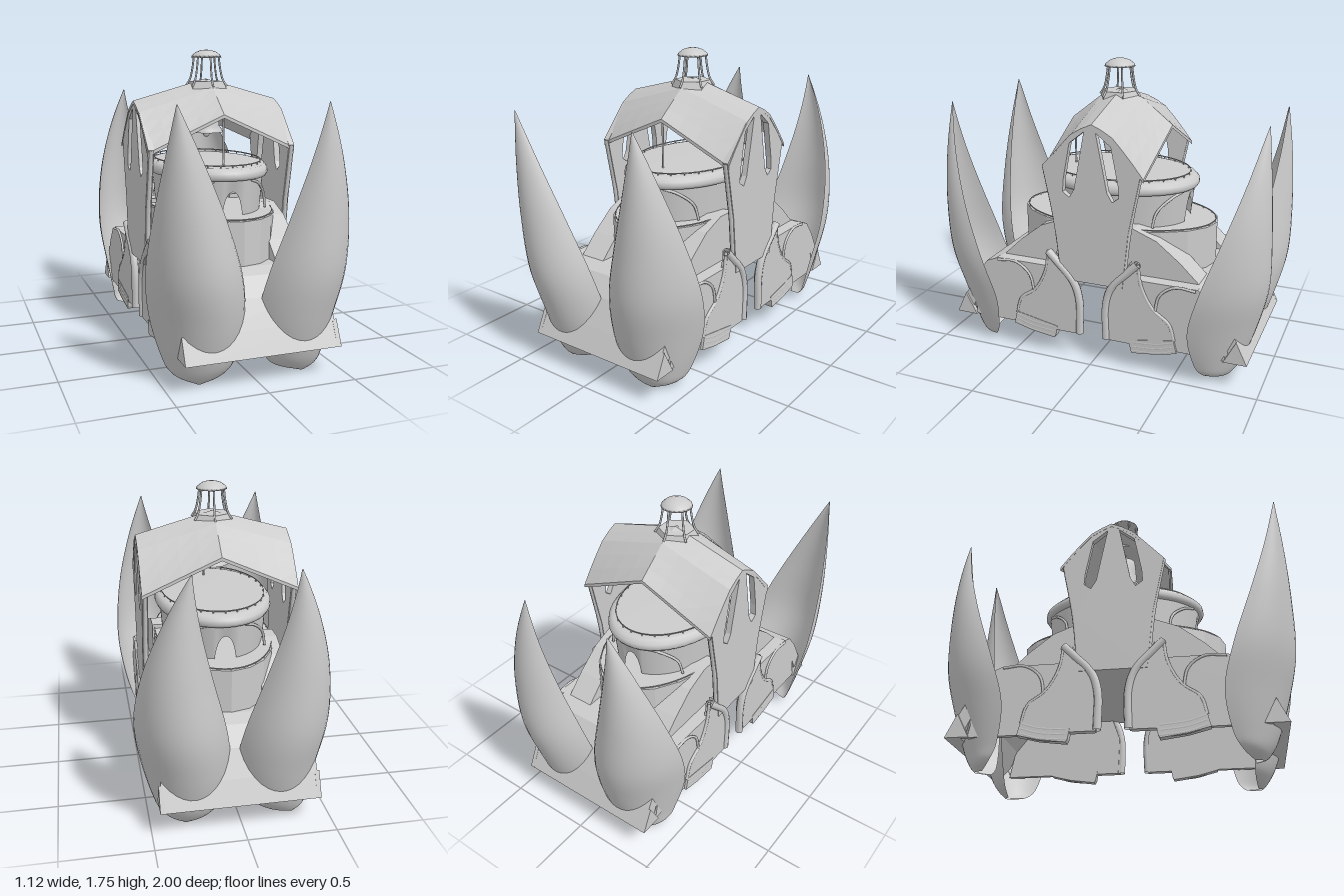
import * as THREE from 'three';

const mat = new THREE.MeshStandardMaterial({ color: 0xcccccc, side: THREE.DoubleSide });
const flat = new THREE.MeshStandardMaterial({ color: 0xcccccc, side: THREE.DoubleSide, flatShading: true });

function add(parent, name, geo, material = mat) {
  const m = new THREE.Mesh(geo, material);
  m.name = name;
  parent.add(m);
  return m;
}

// Move every vertex by a rule
function reshape(geo, rule) {
  const p = geo.attributes.position, v = new THREE.Vector3();
  for (let i = 0; i < p.count; i++) {
    rule(v.fromBufferAttribute(p, i));
    p.setXYZ(i, v.x, v.y, v.z);
  }
  geo.computeVertexNormals();
  return geo;
}

// Extrude a side profile of [z, y] points along x, centred on cx
function sideSlab(points, cx, width, holes = []) {
  const toV = (l) => l.map(([z, y]) => new THREE.Vector2(z, y));
  const shape = new THREE.Shape(toV(points));
  holes.forEach((h) => shape.holes.push(new THREE.Path(toV(h))));
  const g = new THREE.ExtrudeGeometry(shape, { depth: width, bevelEnabled: false });
  return g.rotateY(-Math.PI / 2).translate(cx + width / 2, 0, 0);
}

const flipZ = (pts, s) => pts.map(([z, y]) => [z * s, y]);
const bothEnds = (pts) => [...pts, ...flipZ(pts, -1).reverse()];
const pipe = (pts, r, seg = 20) => new THREE.TubeGeometry(
  new THREE.CatmullRomCurve3(pts.map((p) => new THREE.Vector3(...p))), seg, r, 8);

// Cupped petal horn; rows are y, outer x, inner x, outermost z, inner-edge z
const hornRows = [
  [0.01, 0.33, 0.27, 0.78, 0.73], [0.05, 0.425, 0.14, 0.82, 0.67], [0.14, 0.47, 0.075, 0.87, 0.625],
  [0.35, 0.525, 0.04, 0.94, 0.6], [0.6, 0.56, 0.08, 0.995, 0.665], [0.9, 0.55, 0.19, 0.995, 0.77],
  [1.2, 0.515, 0.325, 0.975, 0.865], [1.49, 0.472, 0.468, 0.942, 0.938],
];
const hornX = new THREE.CatmullRomCurve3(hornRows.map((r) => new THREE.Vector3(r[1], r[0], r[2])), false, 'catmullrom');
const hornZ = new THREE.CatmullRomCurve3(hornRows.map((r) => new THREE.Vector3(r[3], r[0], r[4])), false, 'catmullrom');

function horn(sx, sz, bellyShift, tipShift) {
  const end = 2.65;
  return reshape(new THREE.PlaneGeometry(1, 1, 18, 40), (v) => {
    const t = v.y + 0.5, phi = (v.x + 0.5) * end;
    const a = hornX.getPoint(t), b = hornZ.getPoint(t);
    const k = (1 - Math.cos(phi)) / (1 - Math.cos(end));
    const lean = Math.max(0, (a.y - 0.3) / 1.19) ** 2.5;
    const x = a.x + (a.z - a.x) * k - bellyShift * Math.sin(Math.PI * t) - tipShift * lean;
    v.set(sx * x, a.y, sz * (b.z + (b.x - b.z) * Math.sin(phi)));
  });
}

function ridgeY(z) {
  const d = Math.abs(z);
  return d < 0.12 ? 1.585 - 0.375 * d : 1.54 - (d - 0.12) * 0.78;
}
const roofY = (x, z) => ridgeY(z) - (Math.abs(x) / 0.45) * (0.125 + 0.8 * z * z);

// Railing on an oval: thin rail with posts
function railing(parent, rx, rz, y, h) {
  const rail = new THREE.TorusGeometry(1, 0.004, 5, 64).rotateX(Math.PI / 2);
  add(parent, 'rail', rail.scale(rx, 1, rz).translate(0, y + h, 0));
  for (let i = 0; i < 28; i++) {
    const a = (i / 28) * Math.PI * 2;
    add(parent, 'railPost', new THREE.CylinderGeometry(0.004, 0.004, h, 5)
      .translate(rx * Math.sin(a), y + h / 2, rz * Math.cos(a)));
  }
}

export function createModel() {
  const model = new THREE.Group();
  model.name = 'hornedGateTower';

  // Four horns at the corners, each leaning differently
  add(model, 'frontRightHorn', horn(-1, 1, 0, 0));
  add(model, 'frontLeftHorn', horn(1, 1, 0, 0.13));
  add(model, 'backRightHorn', horn(-1, -1, 0.05, 0.21));
  add(model, 'backLeftHorn', horn(1, -1, -0.01, 0.19));

  const body = new THREE.Group();
  body.name = 'body';
  body.position.x = 0.015;
  model.add(body);

  // Deck shell with sloping ends, vaulted underside and triangular end plates
  const deck = [[0, 0.58], [0.62, 0.58], [0.7, 0.55], [0.78, 0.45], [0.86, 0.305], [0.925, 0.175],
    [0.84, 0.175], [0.76, 0.34], [0.68, 0.44], [0.56, 0.495], [0.35, 0.52], [0, 0.52]];
  const ramp = [[0.1, 0.57], [0.62, 0.575], [0.5, 0.69], [0.36, 0.8], [0.22, 0.855], [0.1, 0.855]];
  for (const s of [1, -1]) {
    add(body, 'deck', sideSlab(flipZ(deck, s), 0, 0.86), flat);
    for (const k of [1, -1]) {
      add(body, 'endPlate', sideSlab(flipZ([[0.79, 0.175], [0.925, 0.175], [0.86, 0.31]], s), k * 0.43, 0.025), flat);
      add(body, 'sideRamp', sideSlab(flipZ(ramp, s), k * 0.275, 0.16), flat);
    }
  }

  // Flanks, fans, pipes and pods, repeated on all four quarters
  const flank = [[0.1, 0.175], [0.8, 0.175], [0.76, 0.38], [0.69, 0.53], [0.63, 0.58], [0.24, 0.58],
    [0.23, 0.68], [0.14, 0.54], [0.09, 0.4]];
  const fan = [[0.27, 0.68], [0.29, 0.56], [0.35, 0.44], [0.46, 0.35], [0.5, 0.25], [0.3, 0.175],
    [0.09, 0.175], [0.09, 0.4], [0.14, 0.53]];
  const pod = [[0.5, 0.25], [0.52, 0.17], [0.4, 0.14], [0.25, 0.12], [0.24, 0.14], [0.23, 0.2]];
  for (const sx of [1, -1]) for (const sz of [1, -1]) {
    add(body, 'flank', sideSlab(flipZ(flank, sz), sx * 0.415, 0.03), flat);
    add(body, 'fanPanel', sideSlab(flipZ(fan, sz), sx * 0.425, 0.035), flat);
    add(body, 'pod', sideSlab(flipZ(pod, sz), sx * 0.42, 0.05), flat);
    const x = sx * 0.435;
    add(body, 'curvedPipe', pipe([[x, 0.68, sz * 0.28], [x, 0.62, sz * 0.22], [x, 0.51, sz * 0.12],
      [x, 0.4, sz * 0.085], [x, 0.18, sz * 0.085]], 0.024));
    add(body, 'archTrim', pipe([[x, 0.57, sz * 0.62], [x, 0.575, sz * 0.5],
      [x, 0.51, sz * 0.41], [x, 0.38, sz * 0.38]], 0.008));
    add(body, 'fanTrim', pipe([[x, 0.68, sz * 0.28], [x, 0.55, sz * 0.3], [x, 0.42, sz * 0.37],
      [x, 0.34, sz * 0.47], [x, 0.24, sz * 0.5]], 0.01));
    for (const d of [0, 0.028, 0.056]) {
      add(body, 'podRib', pipe([[x, 0.235 - d, sz * 0.5], [x, 0.205 - d, sz * 0.4], [x, 0.19 - d, sz * 0.25]], 0.012));
    }
  }

  // Lower oval platform
  const lower = new THREE.CylinderGeometry(1, 1, 0.25, 20).scale(0.355, 1, 0.615);
  add(body, 'lowerPlatform', lower.translate(0, 0.705, 0), flat);
  railing(body, 0.345, 0.6, 0.828, 0.01);

  // Upper drum: open wall with an archway at front and back
  const drum = new THREE.CylinderGeometry(1, 0.95, 0.2, 180, 1, true);
  add(body, 'upperDrum', reshape(drum, (v) => {
    const top = v.y > 0;
    v.x *= 0.315;
    v.z *= 0.465;
    const arch = 0.135 * Math.sqrt(Math.max(0, 1 - (v.x / 0.057) ** 2));
    v.y = top ? 1.04 : 0.83 + arch;
  }));
  const lip = [[0.44, 1.03], [0.48, 1.032], [0.492, 1.05], [0.488, 1.075], [0.465, 1.095], [0.43, 1.1], [0, 1.1]];
  add(body, 'drumLip', new THREE.LatheGeometry(lip.map((p) => new THREE.Vector2(...p)), 48).scale(0.7, 1, 1));
  railing(body, 0.305, 0.435, 1.1, 0.013);
  for (const s of [1, -1]) for (const k of [1, -1]) {
    add(body, 'drumBrace', pipe([[k * 0.26, 0.84, s * 0.3], [k * 0.24, 0.93, s * 0.32],
      [k * 0.18, 1.0, s * 0.385], [k * 0.11, 1.03, s * 0.435]], 0.008));
  }

  // Gate side walls with paired windows
  const wallHalf = [[0.0, 1.45], [0.12, 1.39], [0.295, 1.2], [0.225, 0.86], [0.19, 0.52]];
  const hole = [[0.17, 1.06], [0.165, 1.13], [0.123, 1.345], [0.035, 1.415], [0.1, 1.08], [0.13, 1.03]];
  for (const sx of [1, -1]) {
    add(body, 'gateWall', sideSlab(bothEnds(wallHalf).slice(0, -1), sx * 0.43, 0.035, [hole, flipZ(hole, -1)]), flat);
    for (const sz of [1, -1]) {
      add(body, 'wallEdge', pipe([[sx * 0.43, 1.2, sz * 0.29], [sx * 0.43, 0.86, sz * 0.225],
        [sx * 0.43, 0.54, sz * 0.19]], 0.014));
    }
  }

  // Gabled roof, peaked along both axes, its ends drawn in towards the eaves
  add(body, 'roof', reshape(new THREE.BoxGeometry(0.9, 0.02, 0.63, 8, 1, 10), (v) => {
    v.y += roofY(v.x, v.z) - 0.01;
    v.z = v.z * (1 - 0.1 * Math.abs(v.x)) - 0.012;
  }), flat);

  // Bell under the roof, with the slim pole at the front gable tip
  const bell = [[0.1, 1.265], [0.097, 1.28], [0.08, 1.3], [0.074, 1.38], [0.068, 1.45], [0, 1.48]];
  add(body, 'bell', new THREE.LatheGeometry(bell.map((p) => new THREE.Vector2(...p)), 24));
  add(body, 'clapper', new THREE.SphereGeometry(0.02, 12, 8).translate(0, 1.255, 0));
  add(body, 'bellHanger', new THREE.CylinderGeometry(0.01, 0.01, 0.12, 8).translate(0, 1.52, 0));
  add(body, 'pole', new THREE.CylinderGeometry(0.006, 0.006, 0.28, 8).translate(0, 1.24, 0.29));

  // Lantern on the ridge
  const lantern = new THREE.Group();
  lantern.name = 'lantern';
  body.add(lantern);
  add(lantern, 'lanternBase', new THREE.CylinderGeometry(0.105, 0.13, 0.06, 6).translate(0, 1.54, 0), flat);
  for (let i = 0; i < 6; i++) {
    const a = (i / 6) * Math.PI * 2, c = Math.sin(a), s = Math.cos(a);
    add(lantern, 'lanternLeg', pipe([[0.125 * c, 1.54, 0.125 * s], [0.1 * c, 1.58, 0.1 * s],
      [0.085 * c, 1.64, 0.085 * s], [0.075 * c, 1.715, 0.075 * s]], 0.006, 10));
  }
  const cap = [[0, 1.705], [0.09, 1.71], [0.085, 1.722], [0.06, 1.742], [0.03, 1.752], [0, 1.755]];
  add(lantern, 'lanternCap', new THREE.LatheGeometry(cap.map((p) => new THREE.Vector2(...p)), 20));

  return model;
}
